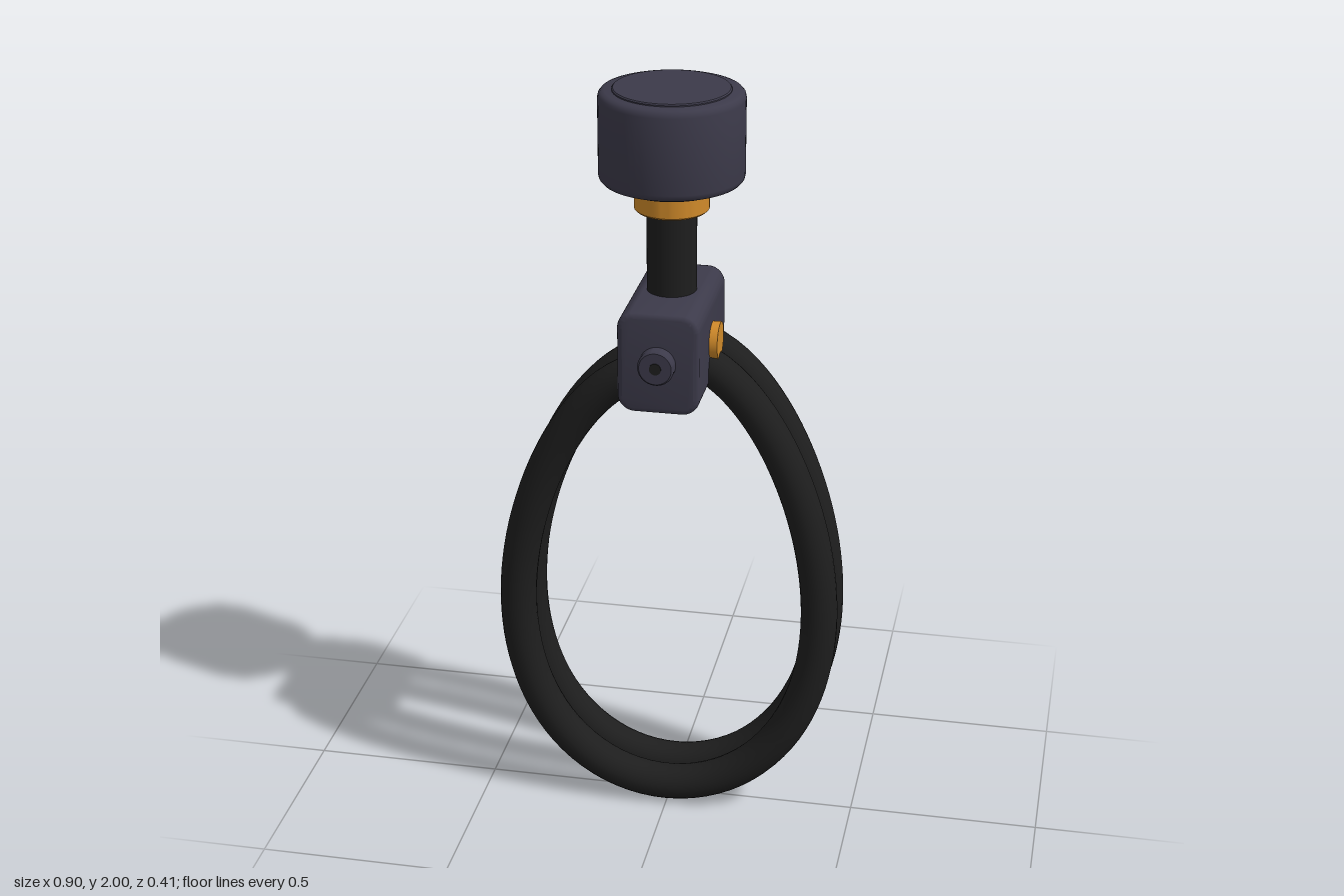
import * as THREE from 'three';
import { toCreasedNormals } from 'three/addons/utils/BufferGeometryUtils.js';

const AXIS_Z = -0.016; // the stem sits slightly behind the origin

export function createModel() {
  const model = new THREE.Group();
  model.name = 'cordLock';
  const material = (name, color) => {
    const m = new THREE.MeshStandardMaterial({ color });
    m.name = name;
    return m;
  };
  const slate = material('slate', 0x3c3a4a);
  const black = material('black', 0x1e1e1e);
  const brass = material('brass', 0xd08a2a);

  const add = (name, geometry, mat, x = 0, y = 0, z = 0) => {
    const mesh = new THREE.Mesh(geometry, mat);
    mesh.name = name;
    mesh.position.set(x, y, z);
    model.add(mesh);
    return mesh;
  };
  // Turned part from [radius, height] pairs, with soft small bevels
  const turned = (pairs) => toCreasedNormals(
    new THREE.LatheGeometry(pairs.map(([r, y]) => new THREE.Vector2(r, y)), 64), 0.7);

  // Two-turn cord loop: an egg-shaped coil drifting backwards
  class CordCurve extends THREE.Curve {
    getPoint(t, target = new THREE.Vector3()) {
      const a = -Math.PI + t * 4 * Math.PI;
      const c = Math.cos(a);
      return target.set(
        0.395 * Math.sin(a) * (1 + 0.157 * c),
        0.676 - 0.624 * c,
        0.094 - 0.228 * t);
    }
  }
  add('cordLoop', new THREE.TubeGeometry(new CordCurve(), 200, 0.048, 20), black);

  // Clamp block: rounded outline extruded front to back with a small bevel
  const bevel = 0.014;
  const w = 0.104 - bevel, h = 0.133 - bevel, r = 0.03;
  const outline = new THREE.Shape();
  outline.moveTo(-w + r, -h);
  outline.lineTo(w - r, -h);
  outline.absarc(w - r, -h + r, r, -Math.PI / 2, 0);
  outline.absarc(w - r, h - r, r, 0, Math.PI / 2);
  outline.absarc(-w + r, h - r, r, Math.PI / 2, Math.PI);
  outline.absarc(-w + r, -h + r, r, Math.PI, Math.PI * 1.5);
  const block = new THREE.ExtrudeGeometry(outline, {
    depth: 0.374 - 2 * bevel, bevelEnabled: true, bevelSize: bevel,
    bevelThickness: bevel, bevelSegments: 3, curveSegments: 8,
  });
  block.translate(0, 0, -0.187 + bevel);
  add('clampBlock', toCreasedNormals(block, 0.6), slate, 0, 1.343, -0.018);

  // Front button with a small dark socket
  const button = add('frontButton', turned([
    [0, 0], [0.046, 0], [0.046, 0.036], [0.041, 0.042], [0, 0.042],
  ]), slate, 0, 1.345, 0.158);
  button.rotation.x = Math.PI / 2;
  const socket = add('buttonSocket', new THREE.CylinderGeometry(0.015, 0.015, 0.004, 24),
    black, 0, 1.345, 0.2);
  socket.rotation.x = Math.PI / 2;

  // Brass pin through the block, showing on both sides
  const pin = add('crossPin', new THREE.CylinderGeometry(0.048, 0.048, 0.25, 40),
    brass, 0, 1.345, AXIS_Z);
  pin.rotation.z = Math.PI / 2;

  // Stem and collar
  add('stem', new THREE.CylinderGeometry(0.063, 0.063, 0.34, 40), black, 0, 1.59, AXIS_Z);
  add('collar', turned([
    [0, 1.688], [0.089, 1.688], [0.094, 1.693], [0.094, 1.77], [0, 1.77],
  ]), brass, 0, 0, AXIS_Z);

  // Knob with a bottom plate and a slightly raised top cap
  add('knobBase', turned([[0, 1.753], [0.138, 1.753], [0.138, 1.78], [0, 1.78]]),
    slate, 0, 0, AXIS_Z);
  add('knob', turned([
    [0, 1.764], [0.165, 1.764], [0.174, 1.767], [0.18, 1.774], [0.182, 1.783],
    [0.182, 1.975], [0.18, 1.984], [0.174, 1.991], [0.165, 1.994], [0, 1.994],
  ]), slate, 0, 0, AXIS_Z);
  add('knobCap', turned([[0, 1.985], [0.147, 1.985], [0.147, 1.997], [0.144, 2], [0, 2]]),
    slate, 0, 0, AXIS_Z);

  return model;
}
